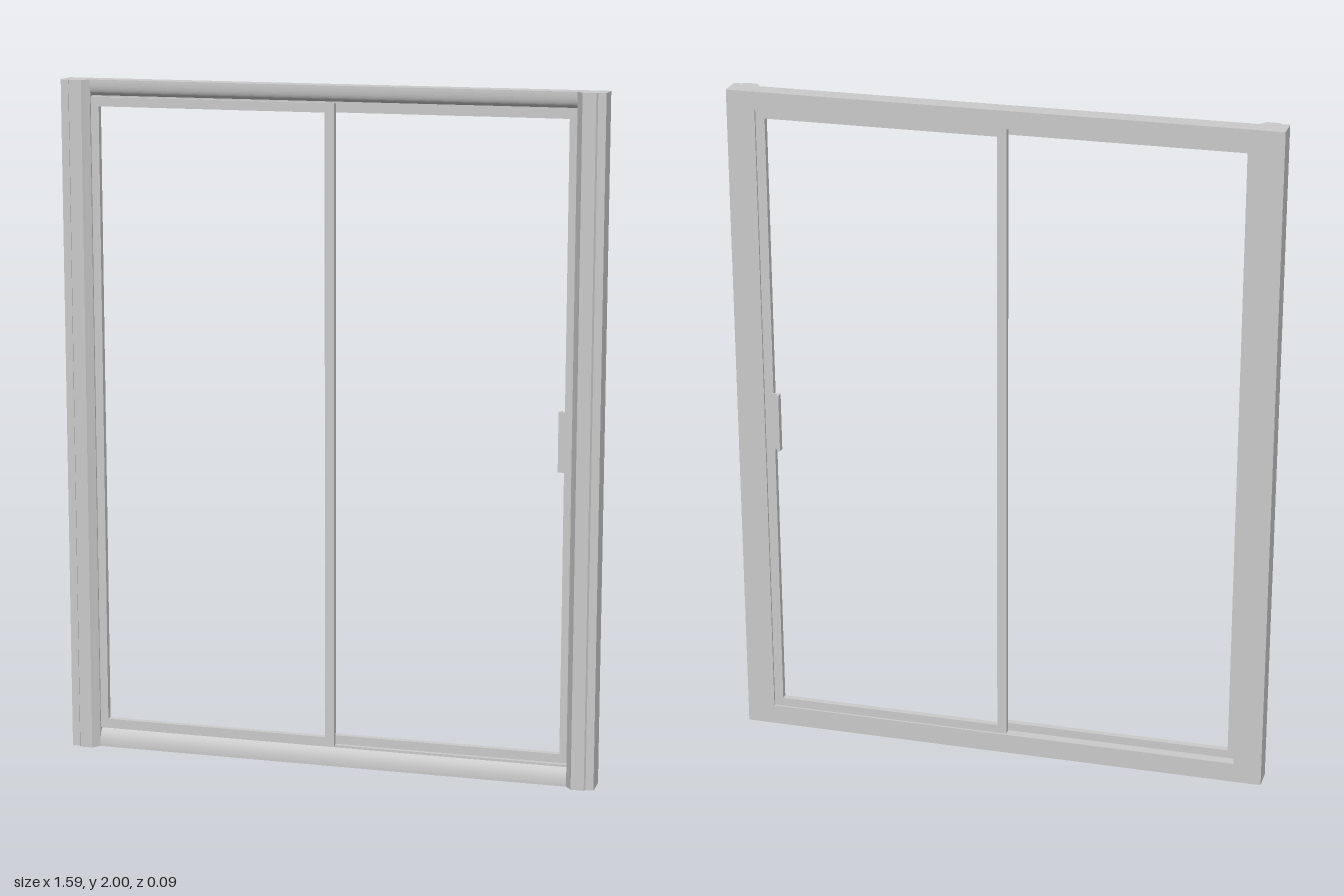
import * as THREE from 'three';

const material = new THREE.MeshStandardMaterial({ color: 0xcccccc });

function addMesh(parent, name, geometry) {
  const mesh = new THREE.Mesh(geometry, material);
  mesh.name = name;
  parent.add(mesh);
  return mesh;
}

function addBox(parent, name, x0, x1, y0, y1, z0, z1) {
  const mesh = addMesh(parent, name, new THREE.BoxGeometry(x1 - x0, y1 - y0, z1 - z0));
  mesh.position.set((x0 + x1) / 2, (y0 + y1) / 2, (z0 + z1) / 2);
}

// Jamb: plan profile (x, z) with a raised front moulding, run up the full height
function jambGeometry(side) {
  const plan = [[0.795, -0.033], [0.795, 0.038], [0.772, 0.038], [0.768, 0.046],
    [0.73, 0.047], [0.725, 0.04], [0.712, 0.023], [0.712, -0.033]];
  const shape = new THREE.Shape(plan.map(([x, z]) => new THREE.Vector2(side * x, -z)));
  const geometry = new THREE.ExtrudeGeometry(shape, { depth: 2, bevelEnabled: false });
  return geometry.rotateX(-Math.PI / 2);
}

// Head and sill: one section (z, distance from the outer edge), run across the opening
function railGeometry(top) {
  const y = (d) => (top ? 2 - d : d);
  const shape = new THREE.Shape();
  shape.moveTo(0.033, y(0));
  shape.lineTo(-0.024, y(0));
  shape.lineTo(-0.024, y(0.008));
  shape.bezierCurveTo(-0.023, y(0.026), -0.02, y(0.04), -0.006, y(top ? 0.046 : 0.053));
  shape.lineTo(-0.006, y(top ? 0.052 : 0.06));
  shape.lineTo(0.033, y(top ? 0.052 : 0.06));
  const geometry = new THREE.ExtrudeGeometry(shape, { depth: 1.424, bevelEnabled: false, curveSegments: 12 });
  return geometry.translate(0, 0, -0.712).rotateY(Math.PI / 2);
}

// Sliding panel: open rectangular frame
function panelGeometry(x0, x1, y0, y1, border, depth) {
  const rect = (Type, a, b, c, d) => new Type([[a, c], [b, c], [b, d], [a, d]].map((p) => new THREE.Vector2(...p)));
  const shape = rect(THREE.Shape, x0, x1, y0, y1);
  shape.holes.push(rect(THREE.Path, x0 + border, x1 - border, y0 + border, y1 - border));
  return new THREE.ExtrudeGeometry(shape, { depth, bevelEnabled: false });
}

export function createModel() {
  const model = new THREE.Group();
  model.name = 'slidingDoor';

  // Fixed outer frame
  const frame = new THREE.Group();
  frame.name = 'outerFrame';
  model.add(frame);
  addMesh(frame, 'leftJamb', jambGeometry(1));
  addMesh(frame, 'rightJamb', jambGeometry(-1));
  addMesh(frame, 'head', railGeometry(true));
  addMesh(frame, 'sill', railGeometry(false));

  // Two panels on separate tracks, overlapping at the middle stile
  const front = addMesh(model, 'frontPanel', panelGeometry(-0.715, 0.015, 0.058, 1.95, 0.027, 0.019));
  front.position.z = -0.002;
  const back = addMesh(model, 'backPanel', panelGeometry(-0.019, 0.713, 0.058, 1.95, 0.028, 0.019));
  back.position.z = -0.026;

  // L-shaped pull on the back of the sliding panel
  const handle = new THREE.Group();
  handle.name = 'handle';
  model.add(handle);
  addBox(handle, 'handleBase', 0.663, 0.69, 0.915, 1.09, -0.031, -0.026);
  addBox(handle, 'handleGrip', 0.663, 0.672, 0.915, 1.09, -0.047, -0.03);

  return model;
}
